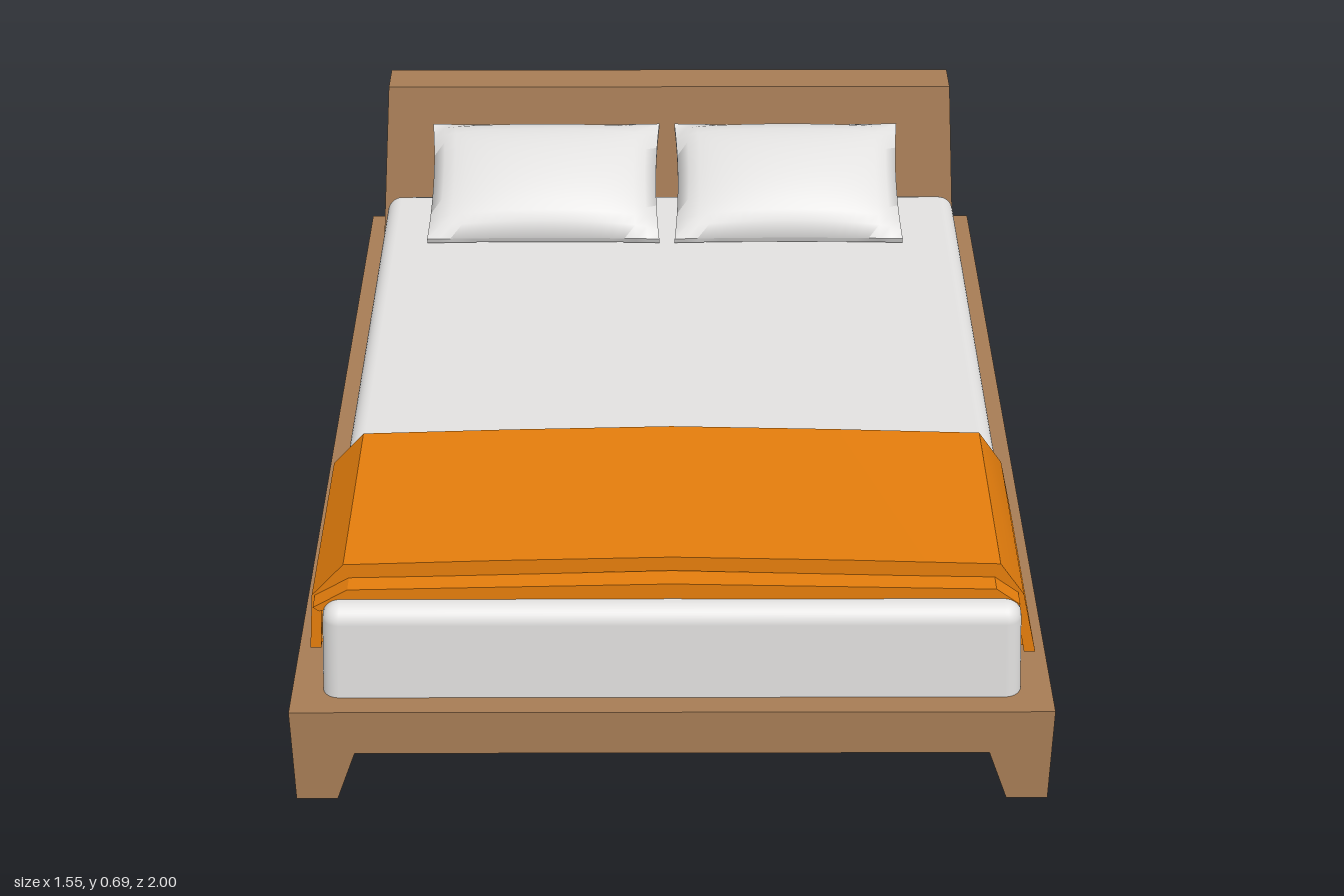
import * as THREE from 'three';
import { toCreasedNormals } from 'three/addons/utils/BufferGeometryUtils.js';
import { RoundedBoxGeometry } from 'three/addons/geometries/RoundedBoxGeometry.js';

const wood = new THREE.MeshStandardMaterial({ name: 'wood', color: 0xa67c55 });
const linen = new THREE.MeshStandardMaterial({ name: 'white linen', color: 0xe2e1e0 });
const orange = new THREE.MeshStandardMaterial({ name: 'orange blanket', color: 0xe47d0c });

function part(name, geometry, material) {
  const mesh = new THREE.Mesh(geometry, material);
  mesh.name = name;
  return mesh;
}

// Box whose bottom and top rectangles differ; each is [x0, x1, z0, z1]
function taperedBox(y0, y1, bottom, top) {
  const g = new THREE.BoxGeometry(1, 1, 1);
  const p = g.attributes.position;
  for (let i = 0; i < p.count; i++) {
    const up = p.getY(i) > 0;
    const r = up ? top : bottom;
    p.setXYZ(i, p.getX(i) > 0 ? r[1] : r[0], up ? y1 : y0, p.getZ(i) > 0 ? r[3] : r[2]);
  }
  g.computeVertexNormals();
  return g;
}

// Mattress: rounded block sunk into the frame, narrowing slightly upward
function mattressGeometry() {
  const g = new RoundedBoxGeometry(1.43, 0.265, 1.71, 4, 0.035);
  const p = g.attributes.position;
  for (let i = 0; i < p.count; i++) {
    const t = p.getY(i) / 0.265 + 0.5;
    p.setX(i, p.getX(i) * (1 - 0.02 * t));
    p.setZ(i, p.getZ(i) * (1 - 0.01 * t));
  }
  return g;
}

// Pillow: a grid that swells in the middle and pinches to a thin seam
function pillowGeometry(width, depth) {
  const g = new THREE.BoxGeometry(2, 2, 2, 20, 1, 14);
  const p = g.attributes.position;
  for (let i = 0; i < p.count; i++) {
    const u = p.getX(i), v = p.getZ(i), s = Math.sign(p.getY(i));
    const swell = Math.pow(Math.max(0, (1 - u * u) * (1 - v * v)), 0.5);
    p.setXYZ(i,
      u * width / 2 * (1 - 0.03 * (1 - v * v)),
      s * (0.008 + 0.07 * swell),
      v * depth / 2 * (1 - 0.02 * (1 - u * u)));
  }
  return toCreasedNormals(g, 0.8);
}

// Blanket layer: closed cross-section in x and y, extruded along z
function blanketLayer(points, z0, z1) {
  const shape = new THREE.Shape(points.map(([x, y]) => new THREE.Vector2(x, y)));
  const g = new THREE.ExtrudeGeometry(shape, { depth: z1 - z0, bevelEnabled: false });
  g.translate(0, 0, z0);
  return toCreasedNormals(g, 0.5);
}

export function createModel() {
  const bed = new THREE.Group();
  bed.name = 'bed';

  // Frame and four tapered legs
  const frame = new THREE.BoxGeometry(1.55, 0.108, 2);
  frame.translate(0, 0.176, 0);
  bed.add(part('frame', frame, wood));
  for (const sx of [-1, 1]) for (const sz of [-1, 1]) {
    const rect = (x, z) => [
      Math.min(sx * 0.775, sx * x), Math.max(sx * 0.775, sx * x),
      Math.min(sz, sz * z), Math.max(sz, sz * z)];
    bed.add(part('leg', taperedBox(0, 0.122, rect(0.69, 0.895), rect(0.648, 0.83)), wood));
  }

  // Wedge-shaped headboard
  const headboard = taperedBox(0.23, 0.685, [-0.73, 0.72, -0.977, -0.787], [-0.697, 0.692, -0.942, -0.85]);
  bed.add(part('headboard', headboard, wood));

  // Mattress
  const mattress = part('mattress', mattressGeometry(), linen);
  mattress.position.set(0, 0.3125, 0.1);
  bed.add(mattress);

  // Pillows leaning on the headboard
  for (const [name, x, w] of [['rightPillow', -0.307, 0.56], ['leftPillow', 0.285, 0.55]]) {
    const pillow = part(name, pillowGeometry(w, 0.35), linen);
    pillow.position.set(x, 0.53, -0.643);
    pillow.rotation.x = 0.42;
    bed.add(pillow);
  }

  // Folded blanket: upper layer hangs down both sides, lower layer peeks out in front
  const upper = [
    [-0.74, 0.29], [-0.728, 0.425], [-0.66, 0.502], [-0.35, 0.512], [0, 0.52],
    [0.35, 0.512], [0.66, 0.502], [0.712, 0.425], [0.745, 0.277],
    [0.722, 0.277], [0.695, 0.41], [0.645, 0.468], [0, 0.486], [-0.645, 0.468],
    [-0.708, 0.41], [-0.718, 0.29]];
  const lower = [
    [-0.726, 0.3], [-0.712, 0.42], [-0.65, 0.469], [0, 0.486], [0.65, 0.469],
    [0.7, 0.42], [0.728, 0.29], [0.714, 0.29], [0.69, 0.41], [0.64, 0.438],
    [0, 0.448], [-0.64, 0.438], [-0.7, 0.41], [-0.712, 0.3]];
  const tongue = [
    [-0.722, 0.425], [-0.65, 0.469], [0, 0.483], [0.65, 0.469], [0.7, 0.43],
    [0.69, 0.42], [0.64, 0.436], [0, 0.446], [-0.64, 0.436], [-0.71, 0.415]];
  bed.add(part('blanketUpperLayer', blanketLayer(upper, 0.4, 0.865), orange));
  bed.add(part('blanketLowerLayer', blanketLayer(lower, 0.41, 0.86), orange));
  bed.add(part('blanketFold', blanketLayer(tongue, 0.42, 0.905), orange));

  return bed;
}
